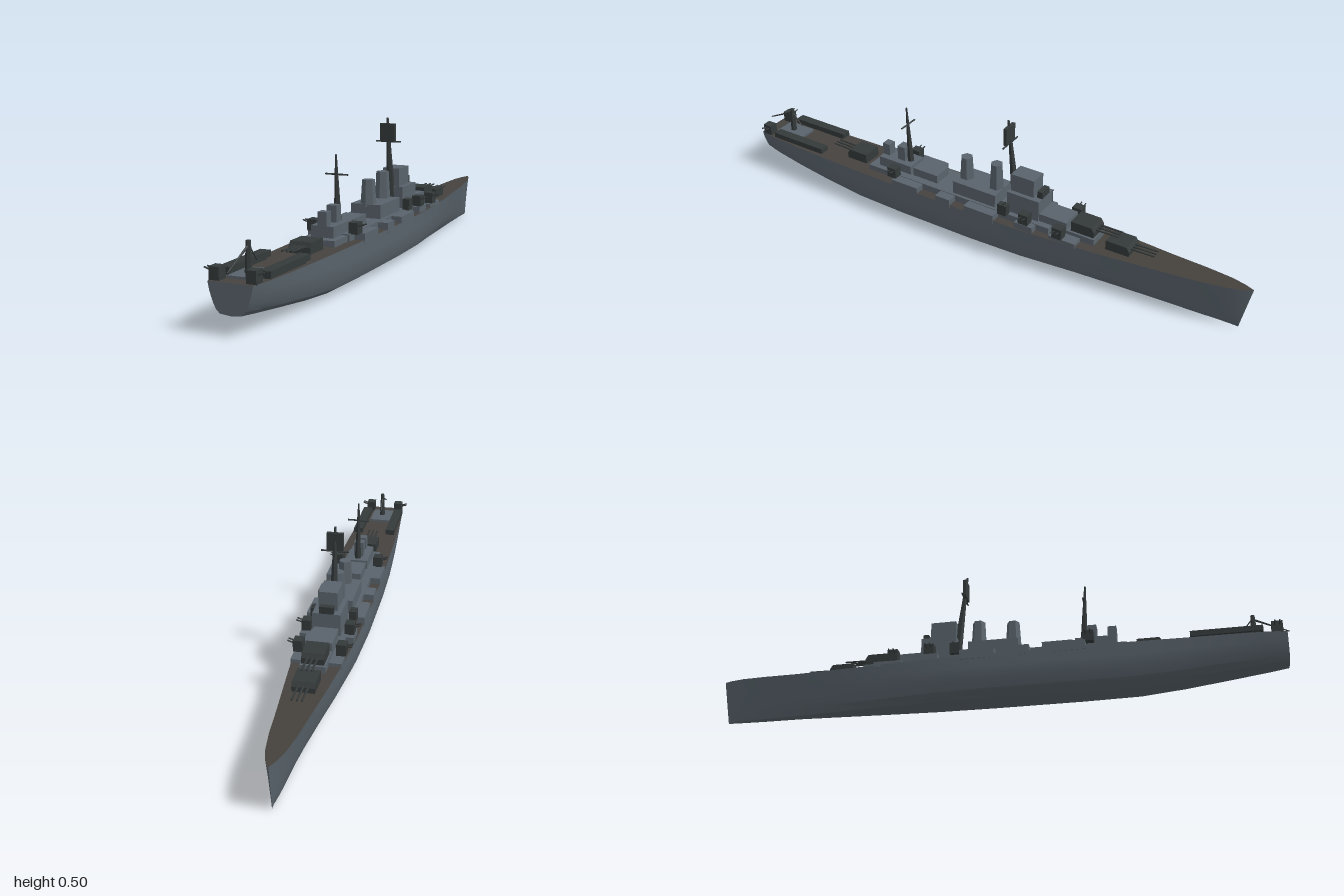
import * as THREE from 'three';
import { toCreasedNormals } from 'three/addons/utils/BufferGeometryUtils.js';

const paint = (color) => new THREE.MeshStandardMaterial({ color });
const grey = paint(0x59636b), dark = paint(0x343939), planks = paint(0x45423e);

// Hull stations from bow to stern: z, half breadth, keel y, deck y, section shape (-1 bow vee, 0 full, 1 stern)
const stations = [
  [-1, 0.002, 0.004, 0.165, -1], [-0.97, 0.015, 0.004, 0.164, -1], [-0.92, 0.029, 0.003, 0.162, -1],
  [-0.83, 0.042, 0.002, 0.158, -0.95], [-0.7, 0.054, 0.002, 0.153, -0.75], [-0.55, 0.069, 0.002, 0.15, -0.5],
  [-0.4, 0.083, 0.002, 0.148, -0.28], [-0.2, 0.097, 0.002, 0.148, -0.08], [0, 0.101, 0.002, 0.148, 0],
  [0.3, 0.101, 0.002, 0.148, 0], [0.5, 0.097, 0.004, 0.148, 0.05], [0.65, 0.093, 0.018, 0.148, 0.2],
  [0.8, 0.088, 0.037, 0.149, 0.4], [0.92, 0.081, 0.052, 0.15, 0.75], [0.985, 0.071, 0.06, 0.151, 1]
];
const full = [[1, 1], [1, 0.7], [1, 0.38], [0.87, 0.18], [0.52, 0.04], [0, 0]];
const vee = [1, 0.8, 0.58, 0.42, 0.25, 0], aft = [1, 0.92, 0.78, 0.66, 0.48, 0];

function section([z, w, keel, deck, shape]) {
  const half = full.map(([fx, fy], j) => {
    const other = shape < 0 ? vee : aft;
    const x = w * THREE.MathUtils.lerp(fx, other[j], Math.abs(shape));
    const rake = 0.03 * (1 - fy) * THREE.MathUtils.clamp((-z - 0.83) / 0.17, 0, 1);
    return [x, keel + (deck - keel) * fy, z + rake];
  });
  return [...half, ...half.slice(0, -1).reverse().map(([x, y, zz]) => [-x, y, zz])];
}

function surface(points, index) {
  const g = new THREE.BufferGeometry();
  g.setAttribute('position', new THREE.Float32BufferAttribute(points.flat(), 3));
  g.setIndex(index);
  return toCreasedNormals(g, 0.45);
}

function add(parent, name, geometry, material, x = 0, y = 0, z = 0) {
  const mesh = new THREE.Mesh(geometry, material);
  mesh.name = name;
  mesh.position.set(x, y, z);
  parent.add(mesh);
  return mesh;
}

// Box given by its extents
function block(parent, name, material, x0, x1, y0, y1, z0, z1) {
  return add(parent, name, new THREE.BoxGeometry(x1 - x0, y1 - y0, z1 - z0), material,
    (x0 + x1) / 2, (y0 + y1) / 2, (z0 + z1) / 2);
}

// Tapered rod between two points
function rod(parent, name, material, from, to, r0, r1 = r0, sides = 6) {
  const a = new THREE.Vector3(...from), b = new THREE.Vector3(...to);
  const dir = b.clone().sub(a);
  const g = toCreasedNormals(new THREE.CylinderGeometry(r1, r0, dir.length(), sides), 0.5);
  const mesh = add(parent, name, g, material);
  mesh.position.copy(a).add(b).multiplyScalar(0.5);
  mesh.quaternion.setFromUnitVectors(new THREE.Vector3(0, 1, 0), dir.normalize());
  return mesh;
}

function hull(parent) {
  const rings = stations.map(section), n = rings[0].length, pts = rings.flat();
  const shell = [], deck = [], last = rings.length - 1;
  for (let i = 0; i < last; i++) {
    for (let j = 0; j < n - 1; j++) {
      const a = i * n + j, c = a + n;
      shell.push(a, c, a + 1, a + 1, c, c + 1);
    }
    const l = i * n, r = l + n - 1;
    deck.push(r, r + n, l, l, r + n, l + n);
  }
  // Transom and stem caps
  for (let j = 1; j < n - 1; j++) {
    shell.push(last * n, last * n + j + 1, last * n + j);
    shell.push(0, j, j + 1);
  }
  add(parent, 'hull', surface(pts, shell), grey);
  add(parent, 'deck', surface(pts, deck), planks);
}

// Triple gun turret, dir = +1 points aft, -1 points to the bow
function turret(parent, name, z, y, dir) {
  const t = new THREE.Group();
  t.name = name;
  const shape = new THREE.Shape([[-0.042, 0], [0.044, 0], [0.044, 0.02], [0.034, 0.036], [-0.042, 0.036]]
    .map((p) => new THREE.Vector2(...p)));
  const g = new THREE.ExtrudeGeometry(shape, { depth: 0.074, bevelEnabled: false });
  g.translate(0, 0, -0.037).rotateY(-Math.PI / 2);
  add(t, 'gunHouse', g, dark);
  for (const x of [-0.016, 0, 0.016])
    rod(t, 'gunBarrel', dark, [x, 0.022, 0.035], [x, 0.024, 0.125], 0.004, 0.003);
  t.position.set(0, y, z);
  if (dir < 0) t.rotation.y = Math.PI;
  parent.add(t);
}

// Small twin mount trained outboard on side s
function sideMount(parent, s, x, y, z, h) {
  const m = new THREE.Group();
  m.name = 'sideGunMount';
  add(m, 'mountShield', new THREE.BoxGeometry(0.032, h, 0.036), dark, 0, h / 2, 0);
  for (const dz of [-0.008, 0.008])
    rod(m, 'sideGunBarrel', dark, [s * 0.01, h * 0.65, dz], [s * 0.036, h * 0.65 + 0.008, dz], 0.0025);
  m.position.set(s * x, y, z);
  parent.add(m);
}

export function createModel() {
  const ship = new THREE.Group();
  ship.name = 'warship';
  hull(ship);

  // Deckhouses and bridge
  block(ship, 'mainDeckhouse', grey, -0.066, 0.066, 0.14, 0.172, -0.3, 0.37);
  block(ship, 'aftDeckhouse', grey, -0.06, 0.06, 0.14, 0.168, 0.37, 0.465);
  block(ship, 'foreDeckhouse', grey, -0.042, 0.042, 0.14, 0.172, -0.46, -0.3);
  block(ship, 'foreBridgeHouse', grey, -0.042, 0.042, 0.17, 0.2, -0.355, -0.25);
  block(ship, 'bridgeBase', grey, -0.048, 0.048, 0.17, 0.25, -0.25, -0.125);
  block(ship, 'bridgeTower', grey, -0.032, 0.032, 0.25, 0.315, -0.22, -0.13);
  block(ship, 'director', dark, -0.024, 0.024, 0.25, 0.275, -0.25, -0.23);
  block(ship, 'funnelHouse', grey, -0.055, 0.055, 0.17, 0.22, -0.08, 0.095);
  block(ship, 'boatHouse', grey, -0.037, 0.037, 0.17, 0.203, 0.175, 0.28);
  block(ship, 'aftControlHouse', grey, -0.04, 0.04, 0.165, 0.205, 0.29, 0.43);
  block(ship, 'aftTowerTall', grey, -0.018, 0.018, 0.2, 0.26, 0.33, 0.362);
  block(ship, 'aftTowerShort', grey, -0.016, 0.016, 0.2, 0.25, 0.4, 0.43);

  // Funnels
  for (const [z, top] of [[-0.053, 0.315], [0.07, 0.303]])
    rod(ship, 'funnel', grey, [0, 0.21, z], [0, top, z], 0.028, 0.022, 6);

  // Main turrets
  rod(ship, 'barbette', grey, [0, 0.14, -0.41], [0, 0.176, -0.41], 0.035, 0.035, 12);
  turret(ship, 'foreTurret', -0.543, 0.148, -1);
  turret(ship, 'raisedForeTurret', -0.412, 0.175, -1);
  turret(ship, 'aftTurret', 0.54, 0.148, 1);

  // Fore mast with yard and radar panel
  rod(ship, 'foreMast', dark, [0, 0.172, -0.135], [0, 0.5, -0.098], 0.018, 0.004);
  rod(ship, 'foreYard', dark, [-0.048, 0.415, -0.106], [0.048, 0.415, -0.106], 0.003);
  block(ship, 'radarPanel', dark, -0.028, 0.028, 0.415, 0.48, -0.108, -0.096);

  // Main mast
  rod(ship, 'mainMast', dark, [0, 0.17, 0.315], [0, 0.42, 0.327], 0.014, 0.003);
  rod(ship, 'mainYard', dark, [-0.04, 0.355, 0.322], [0.04, 0.355, 0.322], 0.003);

  // Stern crane
  block(ship, 'craneBase', grey, -0.04, 0.04, 0.14, 0.158, 0.82, 0.935);
  rod(ship, 'cranePost', dark, [0, 0.15, 0.885], [0, 0.25, 0.885], 0.012, 0.007);
  rod(ship, 'craneJib', dark, [0, 0.235, 0.885], [0, 0.181, 0.998], 0.004, 0.002);
  rod(ship, 'craneStay', dark, [0, 0.185, 0.84], [0, 0.24, 0.885], 0.002);

  // Mirrored side fittings
  for (const s of [-1, 1]) {
    const side = (name, mat, x0, x1, ...rest) =>
      block(ship, name, mat, Math.min(s * x0, s * x1), Math.max(s * x0, s * x1), ...rest);
    side('catapult', dark, 0.048, 0.083, 0.156, 0.175, 0.675, 0.91);
    side('catapultFoot', dark, 0.055, 0.076, 0.145, 0.16, 0.69, 0.9);
    for (const [z0, z1] of [[-0.1, 0.02], [0.08, 0.14], [0.22, 0.33]])
      side('sidePlatform', grey, 0.06, 0.102, 0.135, 0.17, z0, z1);
    side('foreGunPlatform', grey, 0.055, 0.092, 0.14, 0.17, -0.25, -0.18);
    side('foreSidePlatform', grey, 0.04, 0.084, 0.14, 0.16, -0.41, -0.31);
    sideMount(ship, s, 0.072, 0.16, -0.342, 0.04);
    sideMount(ship, s, 0.074, 0.17, -0.212, 0.038);
    sideMount(ship, s, 0.074, 0.17, 0.34, 0.038);
    sideMount(ship, s, 0.058, 0.149, 0.955, 0.04);
    // Light guns beside the bridge
    side('lightGunTub', dark, 0.056, 0.08, 0.17, 0.21, -0.14, -0.105);
    for (const x of [0.062, 0.074])
      rod(ship, 'lightGun', dark, [s * x, 0.205, -0.12], [s * x, 0.217, -0.13], 0.002);
  }
  return ship;
}
